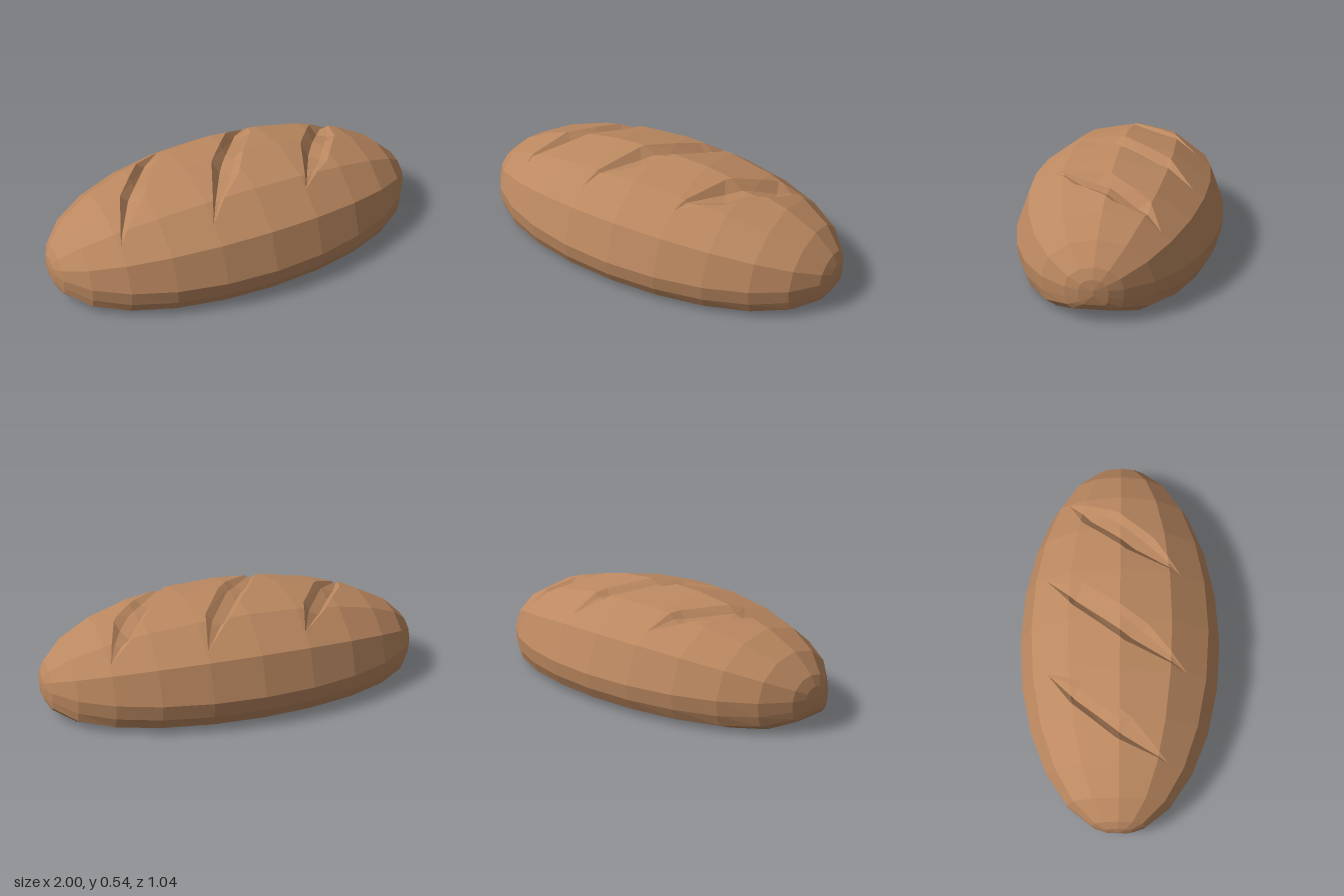
import * as THREE from 'three';

const crust = new THREE.MeshStandardMaterial({ color: 0xbb8860 });
crust.name = 'crust';

// Cross-section at mid length: domed top (z, cosine), then the rounded lower edge (z, height share)
const dome = [-90, -60, -30, 0, 30, 60, 90].map(d => THREE.MathUtils.degToRad(d));
const lower = [[0.51, 0.53], [0.48, 0.19], [0.375, 0]];
const stations = [0, 7.5, 15, 30, 45, 60, 75, 90, 105, 120, 135, 150, 165, 172.5, 180];

// One ring of the loaf, narrowing towards the tips
function ring(degrees) {
  const a = THREE.MathUtils.degToRad(degrees);
  const x = -Math.cos(a), s = Math.sin(a), base = 0.135 * (1 - s) ** 3;
  const low = side => lower.map(([z, f]) => new THREE.Vector3(x, base + (0.16 - base) * f, side * z * s));
  return [
    ...dome.map(t => new THREE.Vector3(x, 0.16 + 0.38 * s * Math.cos(t), 0.52 * s * Math.sin(t))),
    ...low(1), ...low(-1).reverse(),
  ];
}

// Slashes in plan (x, z): front tip, left edge, back tip, right edge
const slashes = [
  [[-0.7, 0.24], [-0.6, -0.01], [-0.42, -0.24], [-0.26, -0.36], [-0.32, -0.19], [-0.5, 0.06]],
  [[-0.26, 0.34], [-0.12, 0.02], [0.08, -0.24], [0.25, -0.38], [0.2, -0.19], [-0.03, 0.14]],
  [[0.26, 0.31], [0.38, 0.03], [0.56, -0.2], [0.7, -0.27], [0.62, -0.03], [0.46, 0.17]],
];

const cross = (p, q, r) => (q[0] - p[0]) * (r[1] - p[1]) - (q[1] - p[1]) * (r[0] - p[0]);

// Keep the part of a plan polygon on the inner side of line p-q
function clip(poly, p, q) {
  const out = [];
  poly.forEach((a, i) => {
    const b = poly[(i + 1) % poly.length];
    const da = cross(p, q, a), db = cross(p, q, b);
    if (da >= 0) out.push(a);
    if (da * db < 0) {
      const t = da / (da - db);
      out.push([a[0] + (b[0] - a[0]) * t, a[1] + (b[1] - a[1]) * t]);
    }
  });
  return out;
}

function area(poly) {
  let sum = 0;
  for (let i = 1; i + 1 < poly.length; i++) sum += cross(poly[0], poly[i], poly[i + 1]);
  return sum / 2;
}

const clipInside = (poly, shape) =>
  shape.reduce((rest, p, i) => clip(rest, p, shape[(i + 1) % shape.length]), poly);

// Pieces of a plan polygon that lie outside a convex shape
function clipOutside(poly, shape) {
  if (area(clipInside(poly, shape)) < 1e-7) return [poly];
  const pieces = [];
  let rest = poly;
  shape.forEach((p, i) => {
    const q = shape[(i + 1) % shape.length];
    const piece = clip(rest, q, p);
    if (area(piece) > 1e-8) pieces.push(piece);
    rest = clip(rest, p, q);
  });
  return pieces;
}

// Triangles of a slash: steep left wall, floor and right wall, each corner [x, z, depth]
function grooveFaces([A, L1, L2, B, R2, R1]) {
  const across = (l, r) => [[0, 0], [0.3, 0.045], [0.72, 0.03], [1, 0]]
    .map(([t, d]) => [l[0] + (r[0] - l[0]) * t, l[1] + (r[1] - l[1]) * t, d]);
  const near = across(L1, R1), far = across(L2, R2);
  const a = [...A, 0], b = [...B, 0], faces = [];
  for (let k = 0; k < 3; k++) {
    faces.push([a, near[k], near[k + 1]], [near[k], far[k], far[k + 1]],
      [near[k], far[k + 1], near[k + 1]], [far[k], b, far[k + 1]]);
  }
  return faces.map(f => (cross(...f) > 0 ? f : [f[0], f[2], f[1]]));
}

// Depth at a plan point within a groove triangle
function depthAt([a, b, c], p) {
  const whole = cross(a, b, c);
  return (cross(b, c, p) * a[2] + cross(c, a, p) * b[2] + cross(a, b, p) * c[2]) / whole;
}

// Add a convex polygon as a fan of flat faces, outer side showing
function addPolygon(list, pts) {
  for (let i = 1; i + 1 < pts.length; i++) {
    const tri = [pts[0], pts[i + 1], pts[i]];
    if (new THREE.Triangle(...tri).getArea() > 1e-8) tri.forEach(v => list.push(v));
  }
}

function makeMesh(points, name) {
  const geometry = new THREE.BufferGeometry().setFromPoints(points);
  geometry.computeVertexNormals();
  const mesh = new THREE.Mesh(geometry, crust);
  mesh.name = name;
  return mesh;
}

export function createModel() {
  const body = [], cuts = [];
  const rings = stations.map(ring);
  const grooves = slashes.map(grooveFaces);
  const count = rings[0].length;

  for (let i = 0; i + 1 < rings.length; i++) {
    for (let k = 0; k < count; k++) {
      const n = (k + 1) % count;
      const quad = [rings[i][k], rings[i + 1][k], rings[i + 1][n], rings[i][n]];
      const scored = k >= 1 && k <= 4 && i >= 2 && i <= 11;
      if (!scored) {
        addPolygon(body, quad);
        continue;
      }
      // Top panels: cut the slashes out and sink the groove faces
      const plane = new THREE.Plane().setFromCoplanarPoints(quad[0], quad[2], quad[1]);
      const lift = (p, depth = 0) => new THREE.Vector3(
        p[0], -(plane.constant + plane.normal.x * p[0] + plane.normal.z * p[1]) / plane.normal.y - depth, p[1]);
      const plan = quad.map(v => [v.x, v.z]);
      let pieces = [plan];
      slashes.forEach((shape, s) => {
        pieces = pieces.flatMap(piece => clipOutside(piece, shape));
        for (const face of grooves[s]) {
          const part = clipInside(plan, face);
          if (area(part) > 1e-8) addPolygon(cuts, part.map(p => lift(p, depthAt(face, p))));
        }
      });
      pieces.forEach(piece => addPolygon(body, piece.map(p => lift(p))));
    }
  }

  const group = new THREE.Group();
  group.name = 'breadLoaf';
  group.add(makeMesh(body, 'loaf'), makeMesh(cuts, 'slashes'));
  return group;
}
